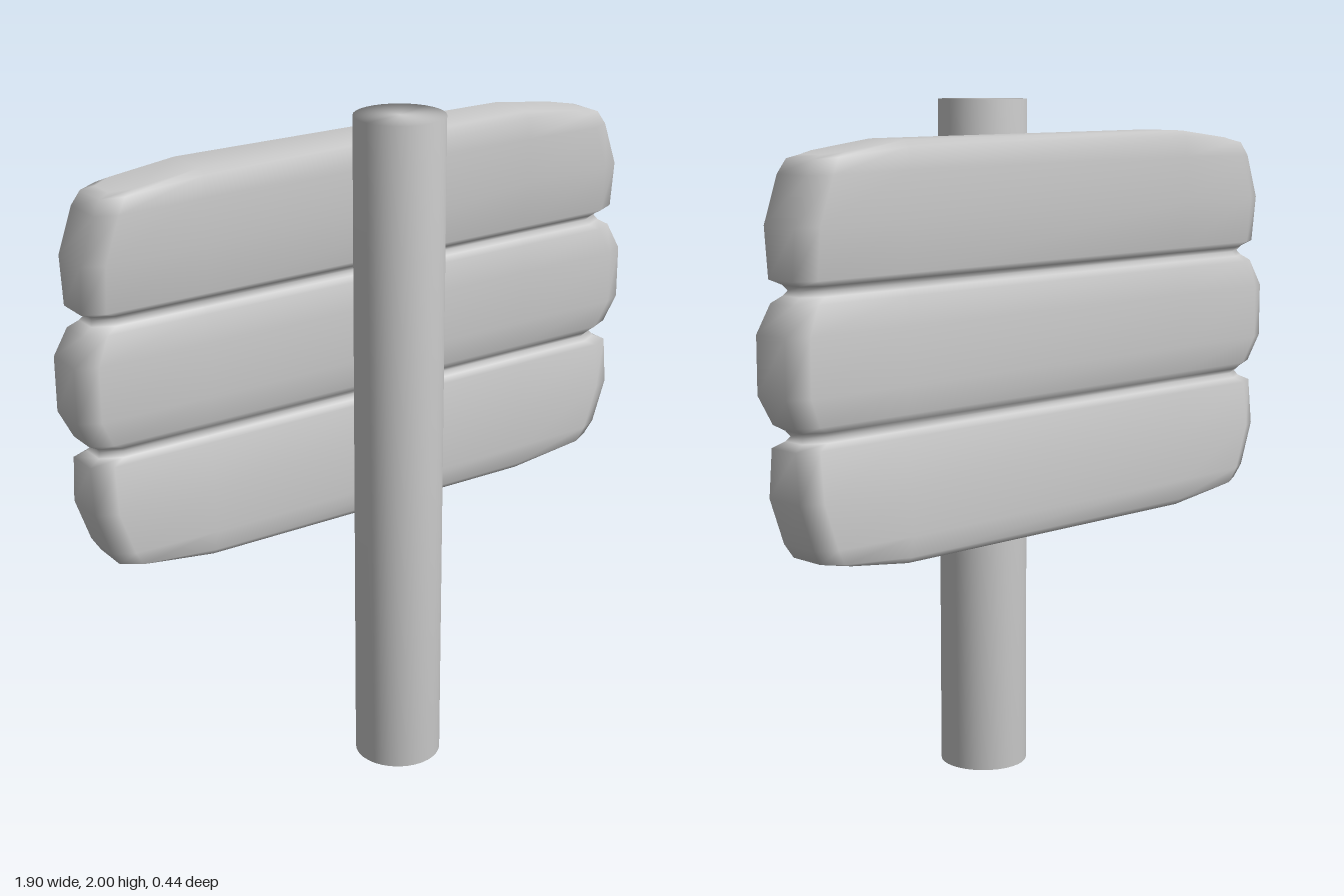
import * as THREE from 'three';

const material = new THREE.MeshStandardMaterial({ color: 0xcccccc });
const MID_Y = 1.33, BOARD_Z = -0.125, FLAT = 0.55, CHAMFER = 0.06;

// Upper half of the board: [height above middle, half width, half depth, drop at the ends]
const upper = [
  [0.08, 0.95, 0.09, 0],
  [0.16, 0.912, 0.077, 0],
  [0.178, 0.88, 0.066, 0],
  [0.192, 0.872, 0.055, 0], // groove between planks
  [0.206, 0.88, 0.066, 0],
  [0.222, 0.915, 0.08, 0],
  [0.36, 0.915, 0.094, 0],
  [0.495, 0.87, 0.094, 0.005],
  [0.555, 0.845, 0.086, 0.025],
  [0.573, 0.81, 0.07, 0.033],
];

// Horizontal chamfered section whose ends bend towards the middle by `drop`
function section([h, w, d, drop]) {
  const s = d - 0.03, e = w - CHAMFER;
  const outline = [
    [-e, d], [-FLAT, d], [FLAT, d], [e, d], [w, s], [w, -s],
    [e, -d], [FLAT, -d], [-FLAT, -d], [-e, -d], [-w, -s], [-w, s],
  ];
  return outline.map(([x, z]) => {
    const bend = drop * (Math.abs(x) - FLAT) / (w - FLAT);
    return [x, MID_Y + h - Math.sign(h) * bend, BOARD_Z + z];
  });
}

function boardGeometry() {
  const lower = upper.map(([h, ...rest]) => [-h, ...rest]).reverse();
  const rings = [...lower, ...upper].map(section);
  const n = 12, index = [];
  const quad = (a, b, c, d) => index.push(a, b, c, a, c, d);
  // Skin between neighbouring sections
  for (let k = 0; k < rings.length - 1; k++) {
    for (let i = 0; i < n; i++) {
      const j = (i + 1) % n;
      quad(k * n + i, k * n + j, (k + 1) * n + j, (k + 1) * n + i);
    }
  }
  // Top and bottom closed by strips from front to back
  const top = (rings.length - 1) * n;
  for (let i = 0; i < 5; i++) {
    const f0 = (i + 11) % n, f1 = i, b0 = 10 - i, b1 = 9 - i;
    quad(top + f0, top + f1, top + b1, top + b0);
    quad(f0, b0, b1, f1);
  }
  const geometry = new THREE.BufferGeometry();
  geometry.setAttribute('position', new THREE.Float32BufferAttribute(rings.flat(2), 3));
  geometry.setIndex(index);
  geometry.computeVertexNormals();
  return geometry;
}

export function createModel() {
  const group = new THREE.Group();
  group.name = 'signpost';

  // Round post with closed, softly shaded ends
  const r = 0.13;
  const profile = [[0, 0], [r, 0], [r, 2], [0, 2]].map(([x, y]) => new THREE.Vector2(x, y));
  const post = new THREE.Mesh(new THREE.LatheGeometry(profile, 32), material);
  post.name = 'post';
  post.position.z = 0.09;
  group.add(post);

  // Three joined planks behind the post
  const board = new THREE.Mesh(boardGeometry(), material);
  board.name = 'plankBoard';
  group.add(board);

  return group;
}
